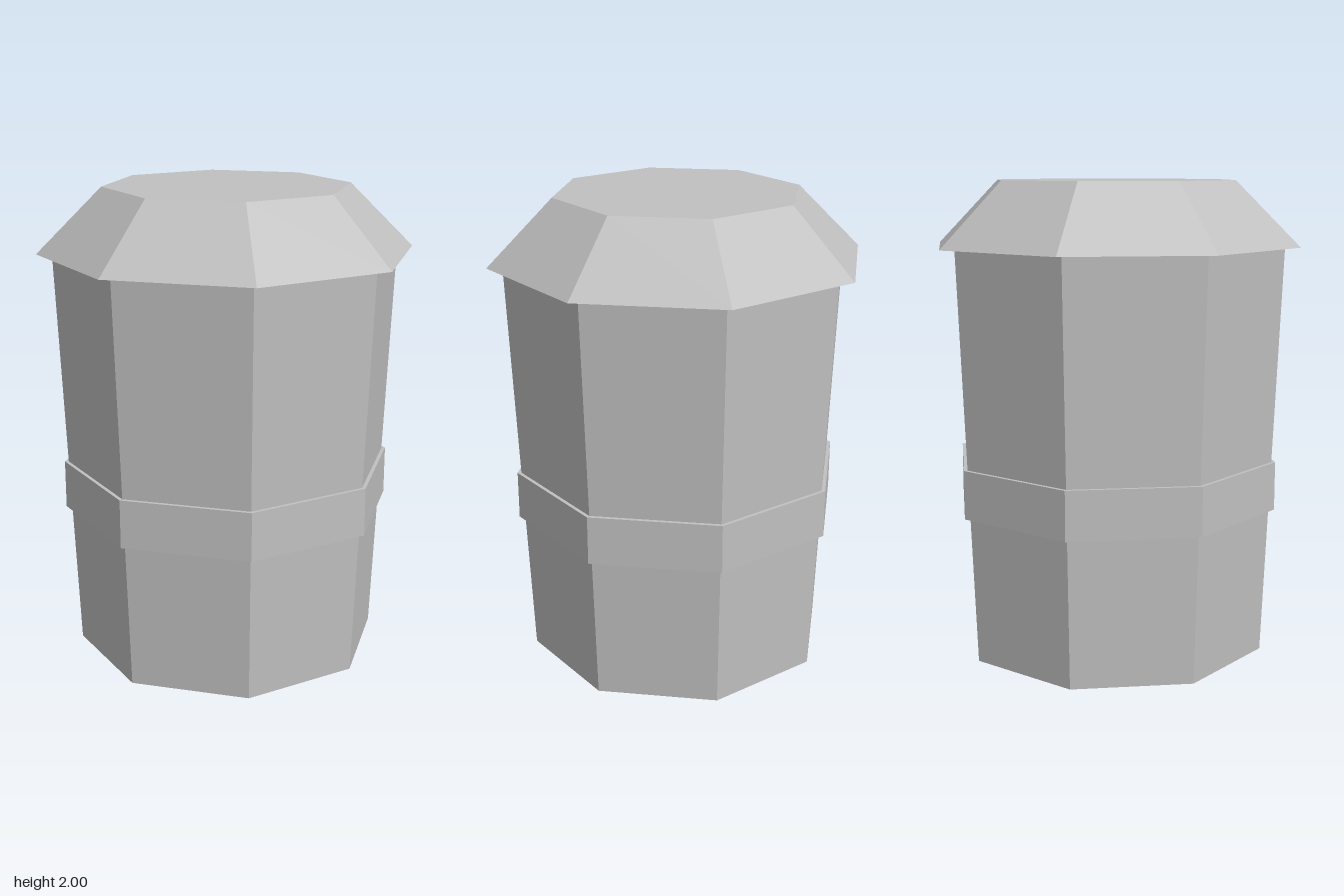
import * as THREE from 'three';

const SIDES = 8;

export function createModel() {
  const group = new THREE.Group();
  const grey = new THREE.MeshStandardMaterial({
    color: 0xc0c0c0, flatShading: true, side: THREE.DoubleSide,
  });
  grey.name = 'grey';

  // Revolve a [radius, height] profile, listed from bottom to top, into an octagonal part
  const addPart = (name, profile) => {
    const points = profile.map(([r, y]) => new THREE.Vector2(r, y));
    const mesh = new THREE.Mesh(new THREE.LatheGeometry(points, SIDES), grey);
    mesh.name = name;
    group.add(mesh);
  };

  // Tapered shell, open at the bottom
  addPart('body', [[0.655, 0], [0.725, 1.73]]);

  // Raised collar with narrow ledges above and below
  addPart('band', [[0.68, 0.625], [0.705, 0.625], [0.705, 0.83], [0.688, 0.83]]);

  // Overhanging bevelled lid with a flat underside and top
  addPart('cap', [[0, 1.73], [0.79, 1.73], [0.517, 2], [0, 2]]);

  return group;
}
